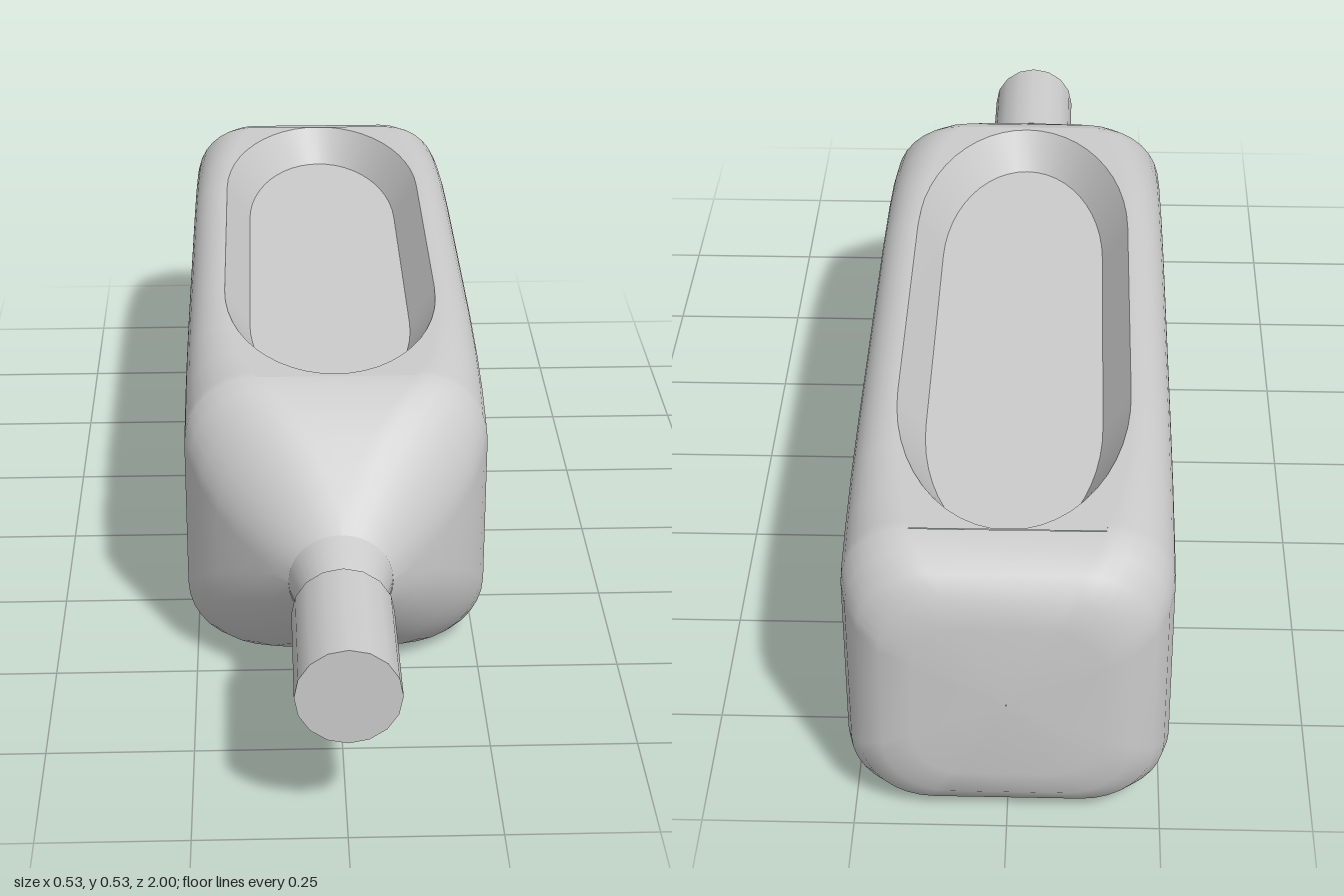
import * as THREE from 'three';

const HALF = 0.265;   // half width of the square body
const DEPTH = 0.07;   // depth of the side recesses
const ARC = 8;        // segments per rounded corner

// Body stations from back to front: [z, half width, corner radius]
const STATIONS = [
  [-1, 0.001, 0.0005], [-0.998, 0.15, 0.08], [-0.988, 0.2, 0.105], [-0.965, 0.235, 0.115],
  [-0.93, 0.255, 0.115], [-0.89, 0.264, 0.11], [-0.87, HALF, 0.108],
  [-0.8, HALF, 0.092], [-0.68, HALF, 0.075], [-0.52, HALF, 0.068],
  [0.02, HALF, 0.068], [0.18, HALF, 0.077], [0.3, HALF, 0.095], [0.38, HALF, 0.12], [0.4, HALF, 0.126],
  [0.43, 0.256, 0.137], [0.47, 0.236, 0.15], [0.51, 0.208, 0.15], [0.55, 0.174, 0.14],
  [0.59, 0.138, 0.122], [0.62, 0.109, 0.104], [0.645, 0.088, 0.087],
];
const FIRST = 5, LAST = 14;   // stations between which the flat sides are cut open

// Rounded square, counter-clockwise seen from the front
function ring([z, h, r]) {
  const pts = [];
  for (let c = 0; c < 4; c++) {
    const mid = Math.PI / 4 + c * Math.PI / 2;
    const cx = Math.sign(Math.cos(mid)) * (h - r), cy = Math.sign(Math.sin(mid)) * (h - r);
    for (let i = 0; i <= ARC; i++) {
      const a = c * Math.PI / 2 + i / ARC * Math.PI / 2;
      pts.push(cx + r * Math.cos(a), cy + r * Math.sin(a), z);
    }
  }
  return pts;
}

// Lofted body shell; normals come from the closed skin, then the flat sides are left out
function bodyGeometry() {
  const n = 4 * (ARC + 1), all = [], kept = [];
  for (let s = 0; s < STATIONS.length - 1; s++) {
    for (let j = 0; j < n; j++) {
      const a = s * n + j, b = s * n + (j + 1) % n;
      const quad = [a, b, a + n, b, b + n, a + n];
      all.push(...quad);
      const flat = j % (ARC + 1) === ARC;
      if (!(flat && s >= FIRST && s < LAST)) kept.push(...quad);
    }
  }
  const g = new THREE.BufferGeometry();
  g.setAttribute('position', new THREE.Float32BufferAttribute(STATIONS.flatMap(ring), 3));
  g.setIndex(all);
  g.computeVertexNormals();
  g.setIndex(kept);
  return g;
}

// Long oval with elliptical ends; y runs towards the back
function oval(halfWidth, front, back, straightFront, straightBack) {
  const pts = [], N = 24;
  for (let i = 0; i <= N; i++) {
    const a = i / N * Math.PI;
    pts.push(new THREE.Vector2(halfWidth * Math.cos(a), -straightBack + (straightBack - back) * Math.sin(a)));
  }
  for (let i = 0; i <= N; i++) {
    const a = Math.PI + i / N * Math.PI;
    pts.push(new THREE.Vector2(halfWidth * Math.cos(a), -straightFront + (front - straightFront) * Math.sin(a)));
  }
  return pts;
}

// Sloping wall between the rim and the recess floor
function wallGeometry(outer, inner) {
  const n = outer.length, idx = [];
  const pos = [...outer.flatMap(p => [p.x, p.y, 0]), ...inner.flatMap(p => [p.x, p.y, -DEPTH])];
  for (let i = 0; i < n; i++) {
    const k = (i + 1) % n;
    idx.push(i, k, n + i, k, n + k, n + i);
  }
  const g = new THREE.BufferGeometry();
  g.setAttribute('position', new THREE.Float32BufferAttribute(pos, 3));
  g.setIndex(idx);
  g.computeVertexNormals();
  return g;
}

export function createModel() {
  const model = new THREE.Group();
  model.name = 'bottle';
  const mat = new THREE.MeshStandardMaterial({ color: 0xcccccc });
  const add = (parent, name, geometry) => {
    const m = new THREE.Mesh(geometry, mat);
    m.name = name;
    parent.add(m);
    return m;
  };

  const bottle = new THREE.Group();
  bottle.name = 'body';
  bottle.position.y = HALF;
  model.add(bottle);
  add(bottle, 'bodyShell', bodyGeometry());

  // Flat side panel with its recess, made once for the top and repeated around
  const rim = oval(0.196, 0.39, -0.89, 0.02, -0.52);
  const floor = oval(0.15, 0.345, -0.845, 0.02, -0.52);
  const flats = STATIONS.slice(FIRST, LAST + 1);
  const panel = new THREE.Shape([
    ...flats.map(([z, h, r]) => new THREE.Vector2(h - r, -z)).reverse(),
    ...flats.map(([z, h, r]) => new THREE.Vector2(r - h, -z)),
  ]);
  // keep the panel just longer than the rim at the back
  panel.holes.push(new THREE.Path(rim.map(p => new THREE.Vector2(p.x, Math.min(p.y, 0.888)))));
  const parts = {
    sidePanel: new THREE.ShapeGeometry(panel),
    recessWall: wallGeometry(rim, floor),
    recessFloor: new THREE.ShapeGeometry(new THREE.Shape(floor)).translate(0, 0, -DEPTH),
  };
  for (const g of Object.values(parts)) g.rotateX(-Math.PI / 2).translate(0, HALF, 0);
  ['top', 'right', 'bottom', 'left'].forEach((side, k) => {
    const group = new THREE.Group();
    group.name = side + 'Side';
    group.rotation.z = k * Math.PI / 2;
    for (const [name, g] of Object.entries(parts)) add(group, name, g);
    bottle.add(group);
  });

  // Tapered neck and the cap at the front
  add(bottle, 'neck', new THREE.CylinderGeometry(0.06, 0.088, 0.115, 32, 1, true)
    .rotateX(Math.PI / 2).translate(0, 0, 0.7));
  add(bottle, 'cap', new THREE.CylinderGeometry(0.085, 0.085, 0.25, 16)
    .rotateX(Math.PI / 2).translate(0, 0, 0.875));
  return model;
}
